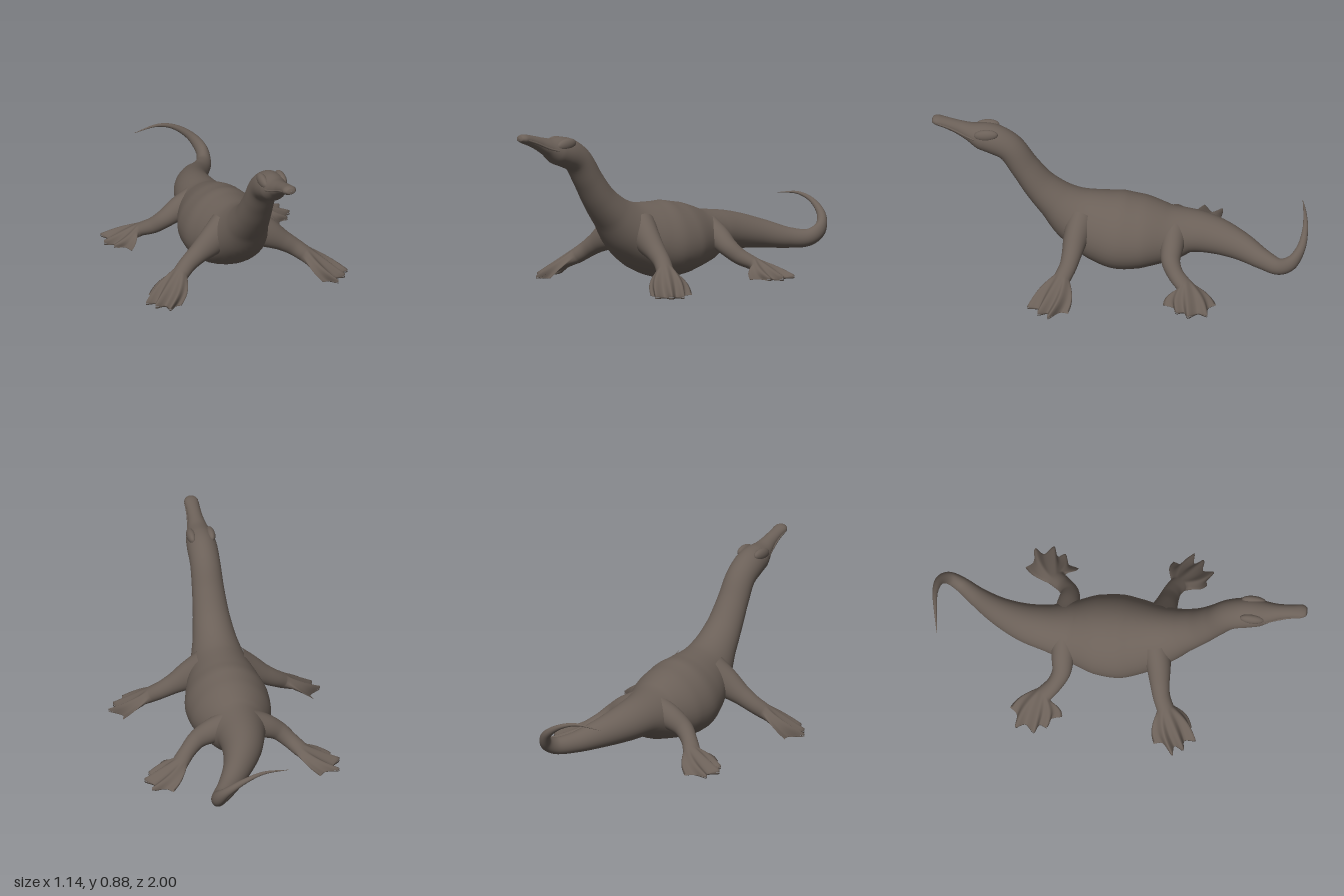
import * as THREE from 'three';

const V = (x, y, z) => new THREE.Vector3(x, y, z);
const UP = V(0, 1, 0);

// Closed rings along a path; each station is [x, y, z, half width, half height]
function sweepRings(stations, steps, sides, pear = 0) {
  const path = new THREE.CatmullRomCurve3(stations.map(s => V(s[0], s[1], s[2])));
  const size = new THREE.CatmullRomCurve3(stations.map(s => V(s[3], s[4], 0)));
  const rings = [];
  for (let i = 0; i <= steps; i++) {
    const t = i / steps, c = path.getPoint(t), r = size.getPoint(t);
    const dir = path.getTangent(t);
    const side = UP.clone().cross(dir).normalize();
    const up = dir.clone().cross(side);
    const w = Math.max(r.x, 0.001), h = Math.max(r.y, 0.001);
    const ring = [];
    for (let j = 0; j < sides; j++) {
      const a = (j / sides) * Math.PI * 2;
      const wide = w * (1 - pear * w * Math.sin(a));
      ring.push(c.clone().addScaledVector(side, Math.cos(a) * wide).addScaledVector(up, Math.sin(a) * h));
    }
    rings.push(ring);
  }
  return rings;
}

// Skin over the rings; s = -1 mirrors it to the other side
function skin(rings, s = 1) {
  const n = rings[0].length, pos = [], idx = [];
  rings.forEach(ring => ring.forEach(p => pos.push(p.x * s, p.y, p.z)));
  for (let i = 0; i < rings.length - 1; i++) {
    for (let j = 0; j < n; j++) {
      const a = i * n + j, b = i * n + (j + 1) % n, c = a + n, d = b + n;
      if (s > 0) idx.push(a, b, c, b, d, c);
      else idx.push(a, c, b, b, c, d);
    }
  }
  const g = new THREE.BufferGeometry();
  g.setAttribute('position', new THREE.Float32BufferAttribute(pos, 3));
  g.setIndex(idx);
  g.computeVertexNormals();
  return g;
}

// Leg running into a webbed foot; outline alternates toe tips and web notches [x, z]
function legRings(stations, outline, ground) {
  const sides = 64, rings = sweepRings(stations, 24, sides);
  const ankle = rings[rings.length - 1];
  const edge = new THREE.CatmullRomCurve3(outline.map(p => V(p[0], ground, p[1])));
  const gaps = (outline.length - 1) / 2;
  const spread = edge.getPoint(0).sub(edge.getPoint(1)).normalize();
  const footRing = (v, thick) => ankle.map((p, j) => {
    const a = (j / sides) * Math.PI * 2;
    const u = j <= sides / 2 ? (2 * j) / sides : 2 - (2 * j) / sides;
    const q = p.clone().lerp(edge.getPoint(u).addScaledVector(UP, thick * Math.sin(a)), v);
    q.addScaledVector(spread, Math.cos(a) * 0.022 * Math.sin(Math.PI * v));
    // raised toe bones on the upper side
    if (a < Math.PI) q.y += 0.008 * v * Math.sin(a) * Math.cos(Math.PI * 2 * gaps * u) * (thick > 0 ? 1 : 0.5);
    return q;
  });
  for (let i = 1; i <= 12; i++) rings.push(footRing(i / 12, 0.008));
  rings.push(footRing(1, 0));
  return rings;
}

export function createModel() {
  const model = new THREE.Group();
  const hide = new THREE.MeshStandardMaterial({ color: 0x6b6058 });
  hide.name = 'brown grey hide';
  const add = (name, geometry) => {
    const mesh = new THREE.Mesh(geometry, hide);
    mesh.name = name;
    model.add(mesh);
    return mesh;
  };

  // Head, neck, trunk and curling tail in one skin
  const spine = [
    [0, 0.868, 1.0, 0.001, 0.001], [0, 0.867, 0.995, 0.024, 0.016], [0, 0.863, 0.97, 0.037, 0.025],
    [0, 0.848, 0.92, 0.036, 0.029], [0, 0.826, 0.86, 0.04, 0.036], [0, 0.802, 0.8, 0.054, 0.048],
    [0, 0.778, 0.735, 0.074, 0.074], [0, 0.758, 0.665, 0.08, 0.08], [0, 0.71, 0.585, 0.08, 0.075],
    [0, 0.60, 0.51, 0.085, 0.076], [0, 0.487, 0.43, 0.097, 0.086], [0, 0.4, 0.345, 0.115, 0.105],
    [0, 0.315, 0.24, 0.15, 0.15], [0, 0.26, 0.12, 0.195, 0.187], [0, 0.232, 0, 0.222, 0.205],
    [0, 0.226, -0.12, 0.212, 0.19], [0, 0.223, -0.25, 0.165, 0.153], [0, 0.238, -0.38, 0.125, 0.112],
    [0.02, 0.228, -0.5, 0.103, 0.098], [0.075, 0.204, -0.64, 0.075, 0.077], [0.155, 0.176, -0.77, 0.052, 0.055],
    [0.215, 0.175, -0.86, 0.04, 0.045], [0.23, 0.215, -0.925, 0.032, 0.038], [0.19, 0.28, -0.972, 0.024, 0.024],
    [0.1, 0.345, -0.988, 0.015, 0.014], [0, 0.376, -0.978, 0.009, 0.008], [-0.14, 0.365, -0.955, 0.001, 0.001],
  ];
  add('body', skin(sweepRings(spine, 156, 40, 0.7)));

  const frontLeg = legRings(
    [[0.07, 0.31, 0.2, 0.08, 0.105], [0.16, 0.255, 0.225, 0.065, 0.08], [0.24, 0.205, 0.24, 0.052, 0.055],
      [0.3, 0.165, 0.255, 0.046, 0.046], [0.35, 0.128, 0.28, 0.046, 0.042]],
    [[0.515, 0.235], [0.505, 0.28], [0.57, 0.34], [0.515, 0.345], [0.535, 0.395],
      [0.48, 0.395], [0.475, 0.455], [0.43, 0.42], [0.4, 0.425]], 0.014);
  const backLeg = legRings(
    [[0.06, 0.25, -0.29, 0.07, 0.085], [0.15, 0.22, -0.285, 0.06, 0.065], [0.22, 0.18, -0.285, 0.05, 0.05],
      [0.275, 0.135, -0.315, 0.043, 0.043], [0.325, 0.1, -0.365, 0.046, 0.036]],
    [[0.395, -0.54], [0.43, -0.5], [0.505, -0.5], [0.48, -0.45], [0.525, -0.4],
      [0.475, -0.375], [0.49, -0.335], [0.44, -0.32], [0.42, -0.26]], 0.032);

  for (const s of [1, -1]) {
    const sideName = s > 0 ? 'left' : 'right';
    add(sideName + 'FrontLeg', skin(frontLeg, s));
    add(sideName + 'BackLeg', skin(backLeg, s));

    // Brow bulge above the cheek
    const brow = add(sideName + 'Brow', new THREE.SphereGeometry(1, 20, 14));
    brow.scale.set(0.024, 0.032, 0.065);
    brow.position.set(0.052 * s, 0.812, 0.71);
    brow.rotation.x = 0.1;

    // Lip ridge along the side of the beak
    const lip = new THREE.CatmullRomCurve3([V(0.06 * s, 0.785, 0.77), V(0.046 * s, 0.8, 0.82),
      V(0.035 * s, 0.835, 0.9), V(0.033 * s, 0.858, 0.965)]);
    add(sideName + 'Lip', new THREE.TubeGeometry(lip, 16, 0.006, 8));
  }
  return model;
}
